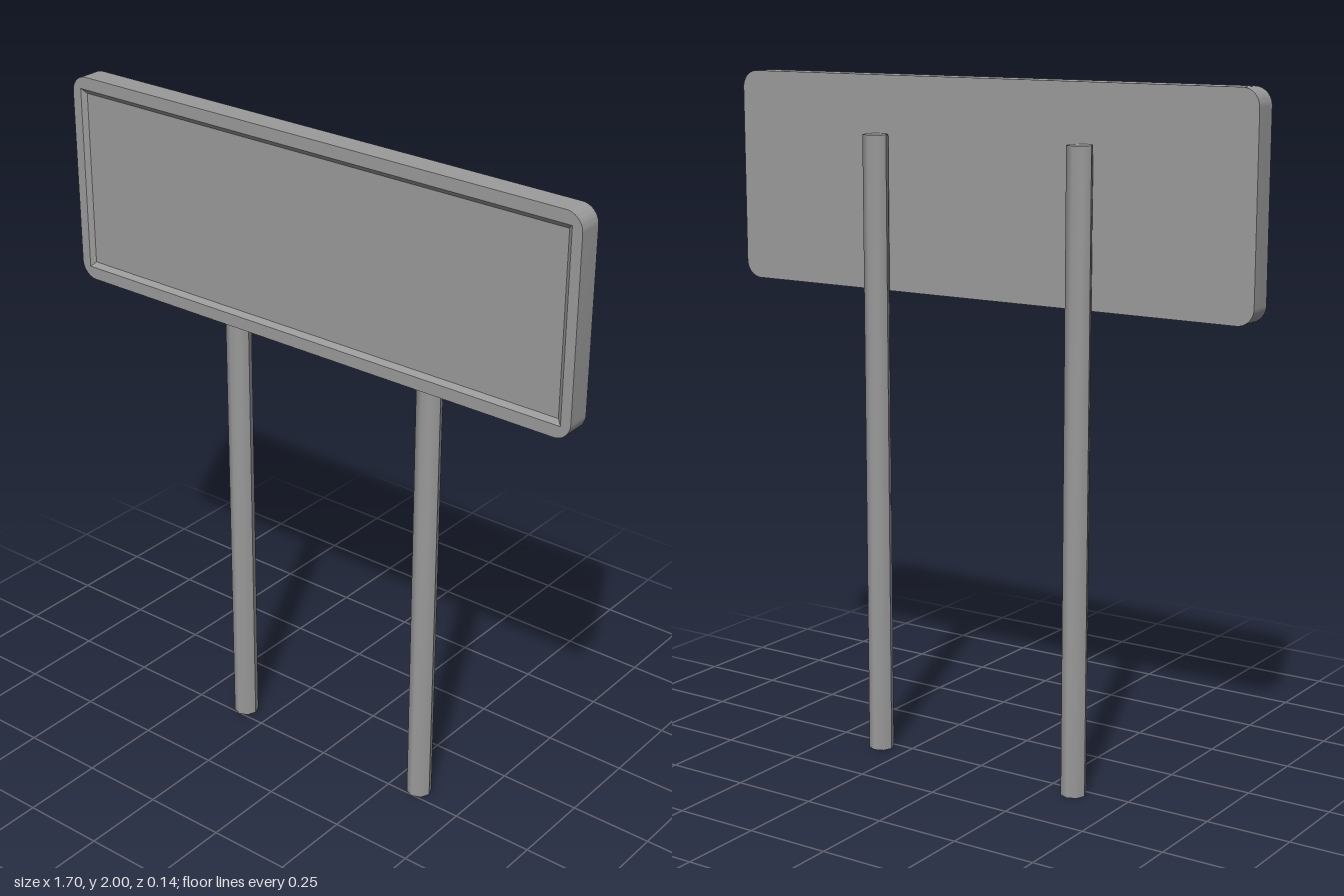
import * as THREE from 'three';
import { mergeGeometries, toCreasedNormals } from 'three/addons/utils/BufferGeometryUtils.js';

const material = new THREE.MeshStandardMaterial({ color: 0x9b9b9b });

const BOARD = { w: 1.7, h: 0.615, depth: 0.071, radius: 0.05, y: 1.6925 };
const RECESS = { x: 0.82, y: 0.271, inset: 0.014, depth: 0.011 };
const POST = { x: 0.339, z: -0.034, radius: 0.037, height: 1.835 };

function roundedRect(w, h, r) {
  const x = w / 2, y = h / 2, s = new THREE.Shape();
  s.moveTo(-x + r, -y);
  s.lineTo(x - r, -y);
  s.absarc(x - r, -y + r, r, -Math.PI / 2, 0);
  s.lineTo(x, y - r);
  s.absarc(x - r, y - r, r, 0, Math.PI / 2);
  s.lineTo(-x + r, y);
  s.absarc(-x + r, y - r, r, Math.PI / 2, Math.PI);
  s.lineTo(-x, -y + r);
  s.absarc(-x + r, -y + r, r, Math.PI, Math.PI * 1.5);
  return s;
}

function extrude(shape, depth) {
  const g = new THREE.ExtrudeGeometry(shape, { depth, bevelEnabled: false, curveSegments: 6 });
  return toCreasedNormals(g, Math.PI / 5);
}

// Four sloping walls from the opening down to the sunken panel
function slopedWalls() {
  const corners = [[-1, -1], [1, -1], [1, 1], [-1, 1]];
  const { x, y, inset, depth } = RECESS;
  const outer = corners.map(([a, b]) => [a * x, b * y, depth]);
  const inner = corners.map(([a, b]) => [a * (x - inset), b * (y - inset), 0]);
  const pos = [];
  for (let i = 0; i < 4; i++) {
    const j = (i + 1) % 4;
    pos.push(...outer[i], ...outer[j], ...inner[j], ...outer[i], ...inner[j], ...inner[i]);
  }
  const g = new THREE.BufferGeometry();
  g.setAttribute('position', new THREE.Float32BufferAttribute(pos, 3));
  g.computeVertexNormals();
  return g;
}

// Eight-sided post of two smooth halves, with a crease along each side
function postGeometry() {
  const halves = [-Math.PI / 2, Math.PI / 2].map(start => {
    const half = new THREE.CylinderGeometry(
      POST.radius, POST.radius, POST.height, 4, 1, false, start, Math.PI);
    half.computeVertexNormals();
    return half;
  });
  return mergeGeometries(halves);
}

function add(parent, name, geometry, x, y, z) {
  const mesh = new THREE.Mesh(geometry, material);
  mesh.name = name;
  mesh.position.set(x, y, z);
  parent.add(mesh);
}

export function createModel() {
  const model = new THREE.Group();
  model.name = 'signpost';

  // Sign board: solid back, raised rim and sloped recess
  const board = new THREE.Group();
  board.name = 'signBoard';
  board.position.y = BOARD.y;
  model.add(board);
  const backDepth = BOARD.depth - RECESS.depth;
  add(board, 'backPanel', extrude(roundedRect(BOARD.w, BOARD.h, BOARD.radius), backDepth), 0, 0, 0);

  const rim = roundedRect(BOARD.w, BOARD.h, BOARD.radius);
  const { x, y } = RECESS;
  rim.holes.push(new THREE.Path([[-x, -y], [-x, y], [x, y], [x, -y]].map(p => new THREE.Vector2(...p))));
  add(board, 'rim', extrude(rim, RECESS.depth), 0, 0, backDepth);
  add(board, 'recessWalls', slopedWalls(), 0, 0, backDepth);

  // Two posts behind the board
  for (const side of [1, -1]) {
    add(model, side > 0 ? 'leftPost' : 'rightPost', postGeometry(), side * POST.x, POST.height / 2, POST.z);
  }
  return model;
}
